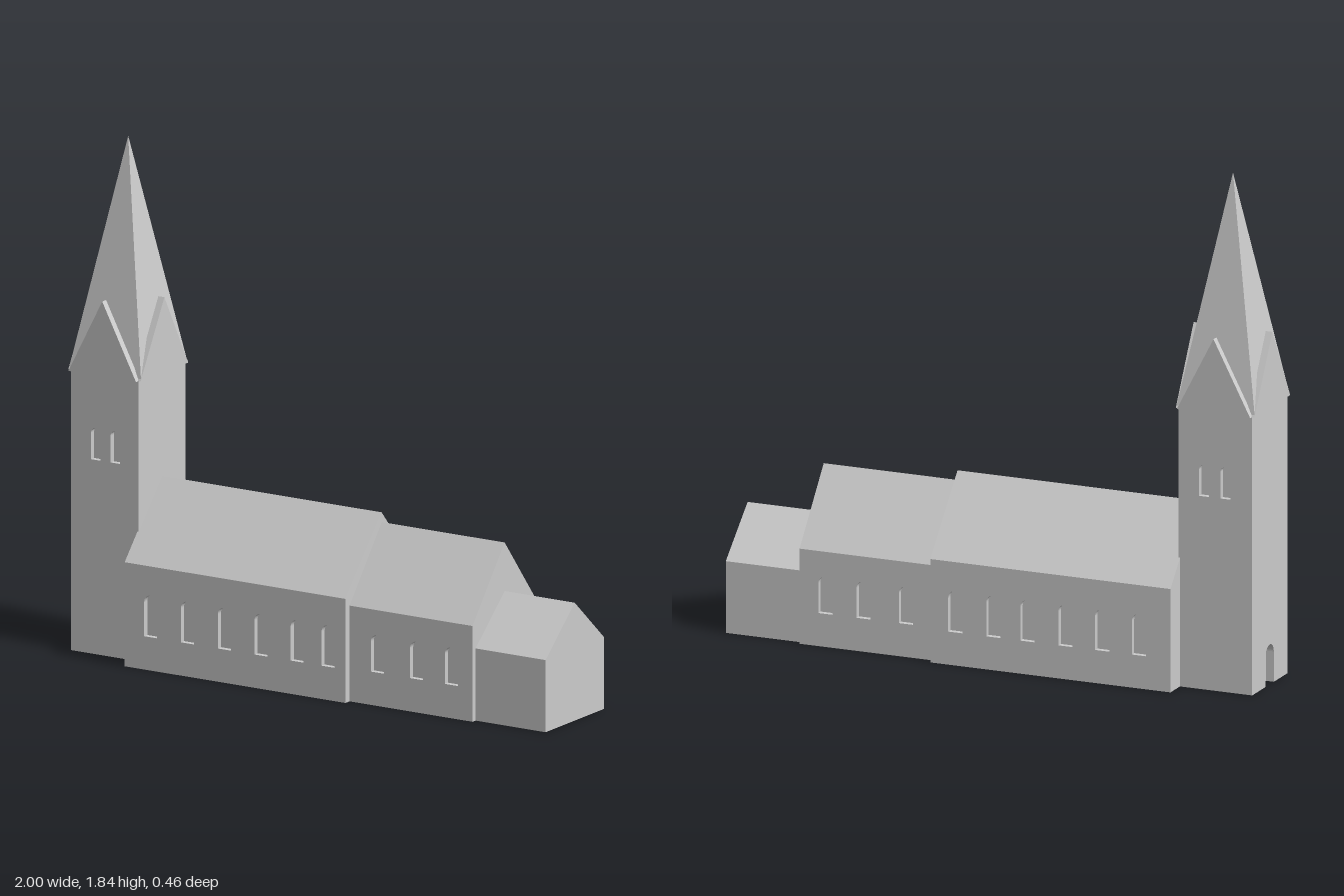
import * as THREE from 'three';

const stone = new THREE.MeshStandardMaterial({ color: 0xcccccc });
stone.name = 'paleStone';

const RECESS = 0.02;

function add(parent, name, geometry) {
  const mesh = new THREE.Mesh(geometry, stone);
  mesh.name = name;
  parent.add(mesh);
  return mesh;
}

function extrude(shape, depth) {
  return new THREE.ExtrudeGeometry(shape, { depth, bevelEnabled: false, curveSegments: 10 });
}

function polygon(points) {
  return new THREE.Shape(points.map(([x, y]) => new THREE.Vector2(x, y)));
}

// Round-headed opening
function archPath(x, y0, y1, width) {
  const r = width / 2;
  const path = new THREE.Path();
  path.moveTo(x - r, y0);
  path.lineTo(x + r, y0);
  path.lineTo(x + r, y1 - r);
  path.absarc(x, y1 - r, r, 0, Math.PI, false);
  path.closePath();
  return path;
}

// Wall skin pierced by arched windows, so the core behind shows as a recess
function windowWall(x0, x1, height, windows, y0, y1, width) {
  const shape = polygon([[x0, 0], [x1, 0], [x1, height], [x0, height]]);
  shape.holes = windows.map((x) => archPath(x, y0, y1, width));
  return extrude(shape, RECESS);
}

function addSideWalls(parent, half, x0, x1, height, front, back, y0, y1, width) {
  const frontWall = add(parent, 'frontWall', windowWall(x0, x1, height, front, y0, y1, width));
  frontWall.position.z = half - RECESS;
  const mirrored = back.map((x) => -x);
  const backWall = add(parent, 'backWall', windowWall(-x1, -x0, height, mirrored, y0, y1, width));
  backWall.rotation.y = Math.PI;
  backWall.position.z = -(half - RECESS);
}

// Gabled block running along x; the core sits inside the wall skins
function hall(name, x0, x1, half, eave, ridge, windows) {
  const group = new THREE.Group();
  group.name = name;
  const inner = windows ? half - RECESS : half;
  const profile = [[-inner, 0], [inner, 0], [inner, eave], [half, eave],
    [0, ridge], [-half, eave], [-inner, eave]];
  const plain = [[-half, 0], [half, 0], [half, eave], [0, ridge], [-half, eave]];
  const core = add(group, 'gabledBody', extrude(polygon(windows ? profile : plain), x1 - x0));
  core.rotation.y = Math.PI / 2;
  core.position.x = x0;
  if (windows) {
    addSideWalls(group, half, x0, x1, eave, windows.front, windows.back, 0.12, windows.top, 0.054);
  }
  return group;
}

function tower() {
  const group = new THREE.Group();
  group.name = 'tower';
  const cx = -0.85, west = -0.99, east = -0.71, half = 0.15, height = 1.01;
  const doorDepth = 0.03;
  const inner = west + doorDepth;

  const core = add(group, 'towerCore',
    new THREE.BoxGeometry(east - inner, height, 2 * (half - RECESS)));
  core.position.set((inner + east) / 2, height / 2, 0);
  const belfry = [-0.888, -0.807];
  addSideWalls(group, half, inner, east, height, belfry, belfry, 0.7, 0.815, 0.038);

  // West wall with an arched doorway open at the ground
  const r = 0.035;
  const shape = new THREE.Shape();
  shape.moveTo(-half, 0);
  shape.lineTo(-r, 0);
  shape.lineTo(-r, 0.11);
  shape.absarc(0, 0.11, r, Math.PI, 0, true);
  shape.lineTo(r, 0);
  shape.lineTo(half, 0);
  shape.lineTo(half, height);
  shape.lineTo(-half, height);
  const doorWall = add(group, 'doorWall', extrude(shape, doorDepth));
  doorWall.rotation.y = -Math.PI / 2;
  doorWall.position.x = inner;

  // Square spire
  const spireGeo = new THREE.ConeGeometry(0.15 * Math.SQRT2, 0.83, 4, 1).toNonIndexed();
  spireGeo.rotateY(Math.PI / 4);
  spireGeo.computeVertexNormals();
  add(group, 'spire', spireGeo).position.set(cx, height + 0.415, 0);

  // Triangular gable plate on each side of the spire
  const thick = 0.025;
  for (let i = 0; i < 4; i++) {
    const alongZ = i % 2 === 0;
    const w = alongZ ? 0.14 : 0.153;
    const out = (alongZ ? 0.167 : 0.15) - thick;
    const geo = extrude(polygon([[-w, 0], [w, 0], [0, 0.27]]), thick);
    geo.translate(0, height, out);
    const gable = add(group, 'spireGable', geo);
    gable.rotation.y = i * Math.PI / 2;
    gable.position.x = cx;
  }
  return group;
}

export function createModel() {
  const model = new THREE.Group();
  model.name = 'church';
  model.add(
    tower(),
    hall('nave', -0.715, 0.2, 0.232, 0.375, 0.635, {
      front: [-0.607, -0.455, -0.302, -0.15, 0, 0.128],
      back: [-0.595, -0.455, -0.315, -0.17, -0.04, 0.105],
      top: 0.27,
    }),
    hall('chancel', 0.2, 0.71, 0.206, 0.345, 0.6, {
      front: [0.315, 0.478, 0.622],
      back: [0.305, 0.466, 0.612],
      top: 0.255,
    }),
    hall('vestry', 0.71, 1.0, 0.187, 0.26, 0.425, null),
  );
  return model;
}
